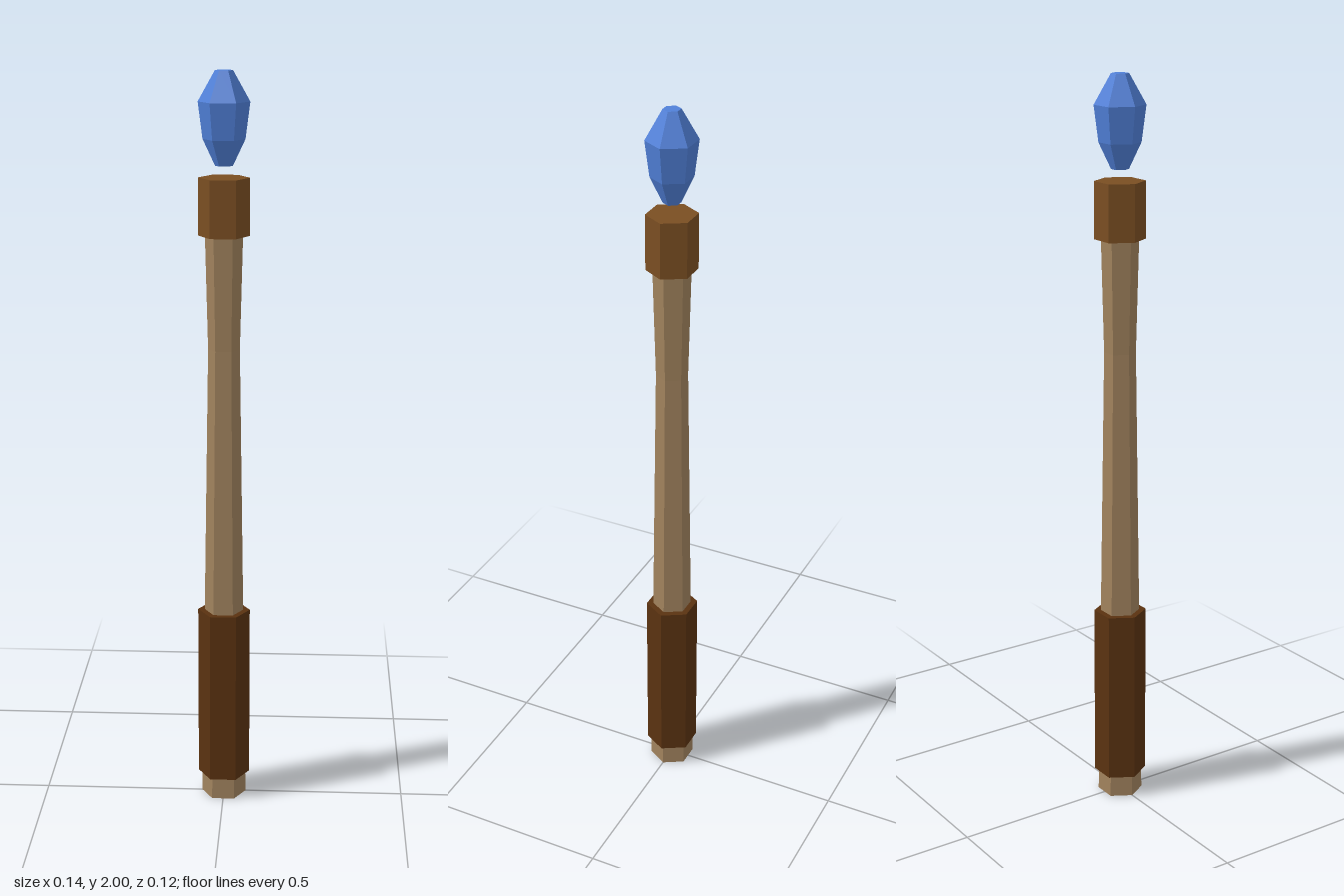
import * as THREE from 'three';

const flat = (name, color) => {
  const material = new THREE.MeshStandardMaterial({ color, flatShading: true });
  material.name = name;
  return material;
};

// Closed six-sided solid from [radius, height] rings, with corners on the x axis
function hexPart(name, rings, material) {
  const first = rings[0], last = rings[rings.length - 1];
  const profile = [[0, first[1]], ...rings, [0, last[1]]].map(([r, y]) => new THREE.Vector2(r, y));
  const mesh = new THREE.Mesh(new THREE.LatheGeometry(profile, 6, Math.PI / 6), material);
  mesh.name = name;
  return mesh;
}

export function createModel() {
  const group = new THREE.Group();
  group.name = 'staff';

  const wood = flat('pale wood', 0xa0825d);
  const leather = flat('dark leather', 0x5a3210);
  const brown = flat('brown wood', 0x7a4e22);
  const blue = flat('blue crystal', 0x5080d8);

  group.add(
    // Waisted shaft, running up into the collar
    hexPart('shaft', [[0.061, 0], [0.042, 1.28], [0.053, 1.72]], wood),
    // Wrapped handle
    hexPart('grip', [[0.071, 0.062], [0.071, 0.547]], leather),
    // Block at the top of the shaft
    hexPart('collar', [[0.067, 1.58], [0.067, 1.73]], brown),
    // Floating cut crystal
    hexPart('crystal', [[0.023, 1.76], [0.055, 1.828], [0.067, 1.922], [0.023, 2]], blue)
  );
  return group;
}
